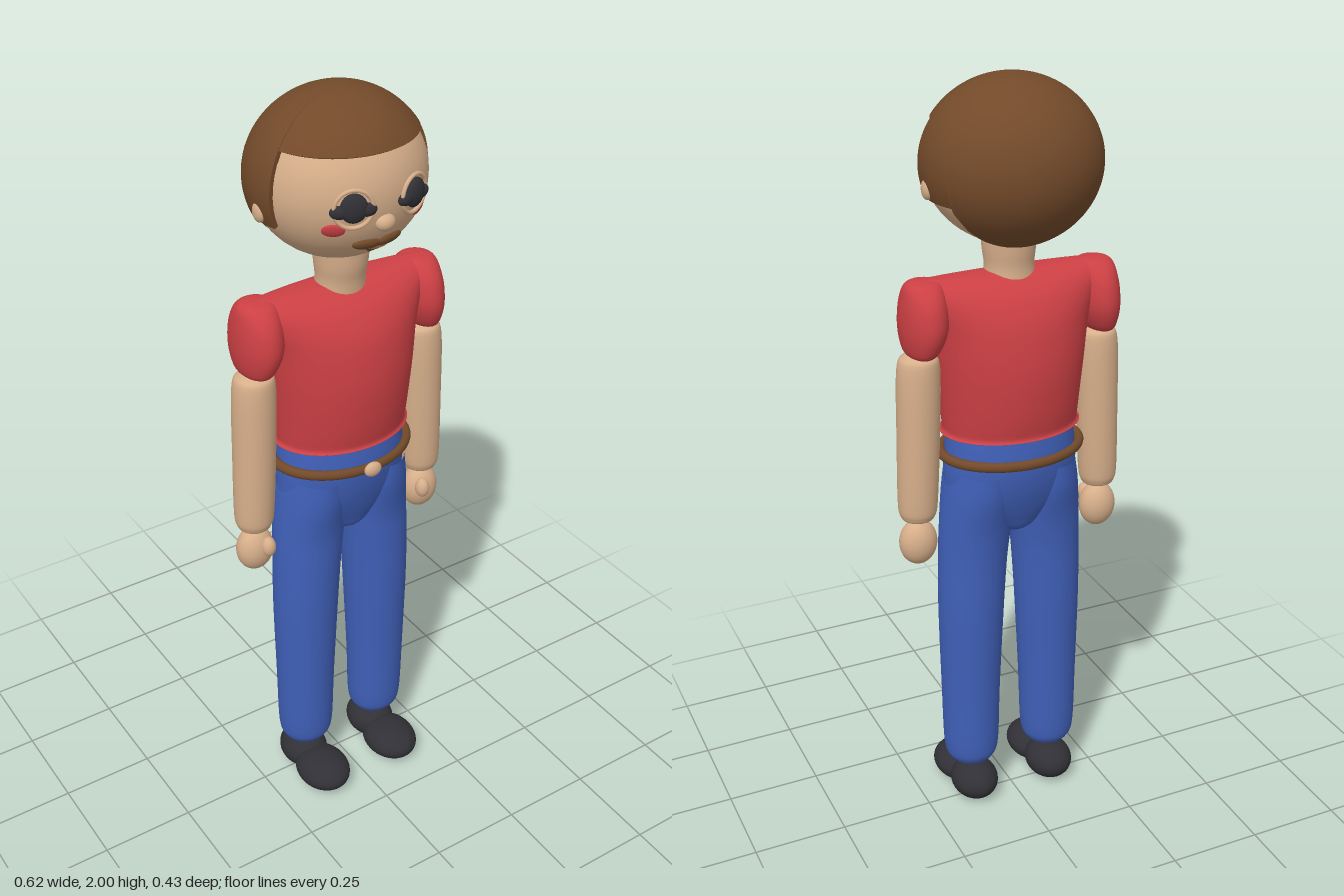
import * as THREE from 'three';
import { toCreasedNormals } from 'three/addons/utils/BufferGeometryUtils.js';

const mat = (name, color) => Object.assign(new THREE.MeshStandardMaterial({ color }), { name });

export function createModel() {
  const model = new THREE.Group();
  model.name = 'standingMan';
  const skin = mat('skin', 0xd6ae8a);
  const brown = mat('brown', 0x734a2a);
  const red = mat('red', 0xcc4044);
  const blue = mat('blue', 0x4060b8);
  const black = mat('black', 0x303036);

  const add = (name, geometry, material, x = 0, y = 0, z = 0) => {
    const m = new THREE.Mesh(geometry, material);
    m.name = name;
    m.position.set(x, y, z);
    model.add(m);
    return m;
  };
  const ellipsoid = (rx, ry, rz) => new THREE.SphereGeometry(1, 36, 24).scale(rx, ry, rz);

  // Surface from a grid of points: rows run downwards, columns turn from +x to +z
  const grid = (rows, cols, point) => {
    const pos = [], idx = [];
    for (let i = 0; i < rows; i++) for (let j = 0; j < cols; j++) pos.push(...point(i, j));
    for (let i = 0; i < rows - 1; i++) for (let j = 0; j < cols; j++) {
      const k = (j + 1) % cols, a = i * cols + j, b = i * cols + k;
      idx.push(a, b, a + cols, b, b + cols, a + cols);
    }
    const g = new THREE.BufferGeometry();
    g.setAttribute('position', new THREE.Float32BufferAttribute(pos, 3));
    g.setIndex(idx);
    g.computeVertexNormals();
    return g;
  };

  // Smooth loft through oval sections [y, centreX, radiusX, centreZ, radiusZ], top to bottom
  const loft = (sections, cols = 40) => {
    const curve = (a, b) => new THREE.CatmullRomCurve3(
      sections.map(s => new THREE.Vector3(s[0], s[a], s[b])), false, 'catmullrom', 0.5);
    const cx = curve(1, 2), cz = curve(3, 4), rows = sections.length * 5;
    return grid(rows, cols, (i, j) => {
      const p = cx.getPoint(i / (rows - 1)), q = cz.getPoint(i / (rows - 1));
      const a = j / cols * Math.PI * 2;
      return [p.y + Math.max(0, p.z) * Math.cos(a), p.x, q.y + Math.max(0, q.z) * Math.sin(a)];
    });
  };

  // Head
  const HY = 1.795, HX = 0.212, HR = 0.195, HZ = 0.197;
  add('head', ellipsoid(HX, HR, HZ), skin, 0, HY, 0);
  add('neck', loft([[1.63, 0, 0.07, 0.01, 0.07], [1.58, 0, 0.066, 0.01, 0.066],
    [1.54, 0, 0.062, 0.008, 0.06], [1.5, 0, 0.066, 0.005, 0.06]]), skin);

  // Hair: a shell whose lower edge steps from fringe to sideburn to nape
  const hx = 0.223, hy = 0.205, hz = 0.211;
  const hairEnd = s => {
    if (s > 0.27) return Math.acos((1.9 - HY) / hy);
    const side = Math.acos((1.72 - HY) / hy);
    if (s > -0.42) return side;
    return Math.max(side, Math.PI - Math.asin(Math.min(1, 0.08 / (hz * -s))));
  };
  const angles = [];
  for (let i = 0; i < 72; i++) angles.push(i / 72 * Math.PI * 2);
  for (const s of [0.27, -0.42]) for (const e of [-0.004, 0.004]) {
    const a = Math.asin(s) + e;
    angles.push((a + Math.PI * 2) % (Math.PI * 2), Math.PI - a);
  }
  angles.sort((a, b) => a - b);
  const N = 30;
  const hair = grid(N + 2, angles.length, (i, j) => {
    const a = angles[j], s = Math.sin(a);
    const t = hairEnd(s) * Math.min(i, N) / N;
    const k = i > N ? 0.92 : 1; // last row turns in to the scalp
    return [hx * k * Math.sin(t) * Math.cos(a), HY + hy * k * Math.cos(t), -0.005 + hz * k * Math.sin(t) * s];
  });
  add('hair', toCreasedNormals(hair, 0.7), brown);

  // Features laid on the face, turned to its surface
  const onFace = (name, geometry, material, x, y, lift = 0) => {
    const dy = y - HY;
    const z = HZ * Math.sqrt(1 - (x / HX) ** 2 - (dy / HR) ** 2);
    const n = new THREE.Vector3(x / HX ** 2, dy / HR ** 2, z / HZ ** 2).normalize();
    const p = new THREE.Vector3(x, y, z).addScaledVector(n, lift);
    const m = add(name, geometry, material, p.x, p.y, p.z);
    m.lookAt(p.clone().add(n));
    return m;
  };
  onFace('nose', ellipsoid(0.025, 0.021, 0.02), skin, 0, 1.742);
  onFace('goatee', new THREE.ConeGeometry(0.034, 0.045, 24).rotateX(Math.PI).scale(1, 1, 0.3), brown, 0, 1.66);

  // Belt and buckle
  add('belt', new THREE.TorusGeometry(0.184, 0.013, 12, 64).rotateX(Math.PI / 2).scale(1, 1, 0.77), brown, 0, 1.06, 0.003);
  add('buckle', ellipsoid(0.024, 0.02, 0.013), skin, 0, 1.062, 0.157);

  // Shirt body
  add('shirt', loft([[1.53, 0, 0.21, 0, 0], [1.526, 0, 0.262, 0.002, 0.035], [1.5, 0, 0.262, 0.003, 0.077],
    [1.46, 0, 0.236, 0.004, 0.11], [1.4, 0, 0.21, 0.005, 0.135], [1.3, 0, 0.195, 0.005, 0.149],
    [1.2, 0, 0.184, 0.005, 0.145], [1.13, 0, 0.178, 0.005, 0.134], [1.118, 0, 0.172, 0.005, 0.128],
    [1.116, 0, 0, 0.005, 0]], 56), red);

  // Trouser seat
  add('trouserSeat', loft([[1.14, 0, 0.165, 0.005, 0.122], [1.06, 0, 0.174, 0.005, 0.13], [1.0, 0, 0.178, 0.004, 0.125],
    [0.94, 0, 0.17, 0.004, 0.11], [0.88, 0, 0.11, 0.005, 0.088], [0.84, 0, 0.05, 0.007, 0.065],
    [0.815, 0, 0, 0.008, 0]], 56), blue);

  // Mirrored parts
  for (const [side, s] of [['left', 1], ['right', -1]]) {
    add(side + 'Sleeve', loft([[1.53, s * 0.225, 0, 0, 0], [1.522, s * 0.228, 0.042, 0, 0.045],
      [1.48, s * 0.23, 0.054, 0, 0.08], [1.42, s * 0.232, 0.057, 0, 0.091], [1.37, s * 0.238, 0.046, 0, 0.078],
      [1.345, s * 0.243, 0.03, 0, 0.055], [1.338, s * 0.245, 0, 0, 0]]), red);

    add(side + 'Arm', loft([[1.35, s * 0.243, 0, 0.005, 0], [1.34, s * 0.243, 0.038, 0.005, 0.04],
      [1.3, s * 0.245, 0.054, 0.005, 0.054], [1.12, s * 0.25, 0.054, 0.005, 0.055], [0.95, s * 0.256, 0.051, 0.005, 0.051],
      [0.91, s * 0.257, 0.045, 0.005, 0.045], [0.898, s * 0.257, 0.033, 0.005, 0.033],
      [0.895, s * 0.257, 0, 0.005, 0]]), skin);
    add(side + 'Hand', ellipsoid(0.05, 0.062, 0.042), skin, s * 0.258, 0.832, 0.005);
    add(side + 'Thumb', ellipsoid(0.019, 0.028, 0.02), skin, s * 0.24, 0.85, 0.044);

    add(side + 'TrouserLeg', loft([[1.02, s * 0.09, 0.08, 0.005, 0.115], [0.95, s * 0.092, 0.09, 0.005, 0.111],
      [0.85, s * 0.098, 0.095, 0.007, 0.092], [0.75, s * 0.105, 0.092, 0.01, 0.087], [0.6, s * 0.111, 0.088, 0.01, 0.085],
      [0.35, s * 0.115, 0.08, 0.01, 0.077], [0.18, s * 0.116, 0.075, 0.009, 0.073], [0.135, s * 0.116, 0.063, 0.008, 0.061],
      [0.12, s * 0.116, 0.042, 0.008, 0.04], [0.116, s * 0.116, 0, 0.008, 0]]), blue);

    add(side + 'ShoeToe', ellipsoid(0.072, 0.046, 0.088), black, s * 0.115, 0.049, 0.096);
    add(side + 'ShoeHeel', ellipsoid(0.064, 0.054, 0.076), black, s * 0.115, 0.054, -0.007);

    add(side + 'Ear', ellipsoid(0.014, 0.026, 0.021), skin, s * 0.212, 1.748, 0);

    // Eye with lashes spreading to both sides and a thin lid ring
    onFace(side + 'Eye', ellipsoid(0.032, 0.035, 0.016), black, s * 0.08, 1.793, 0.004);
    onFace(side + 'InnerLash', ellipsoid(0.022, 0.016, 0.013), black, s * 0.05, 1.787, 0.004);
    onFace(side + 'OuterLash', ellipsoid(0.022, 0.016, 0.013), black, s * 0.109, 1.785, 0.004);
    onFace(side + 'EyeLid', new THREE.TorusGeometry(0.045, 0.005, 10, 40), skin, s * 0.08, 1.79, 0.002);

    onFace(side + 'Cheek', ellipsoid(0.027, 0.017, 0.006), red, s * 0.115, 1.736);
    onFace(side + 'Moustache', ellipsoid(0.036, 0.016, 0.011), brown, s * 0.03, 1.686).rotateZ(s * 0.1);
  }
  return model;
}
